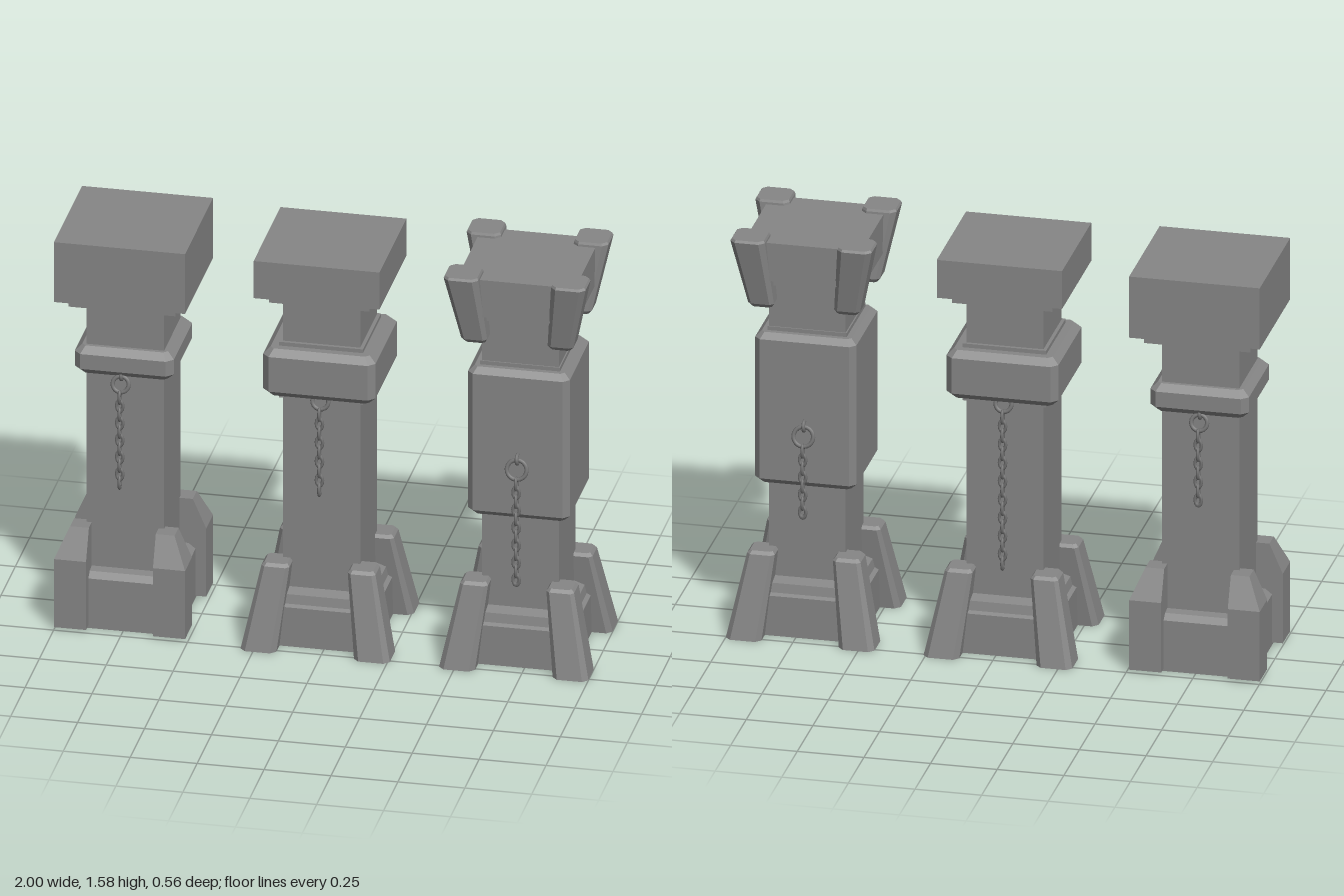
import * as THREE from 'three';

const stone = new THREE.MeshStandardMaterial({ color: 0x868686, flatShading: true, side: THREE.DoubleSide });
const iron = new THREE.MeshStandardMaterial({ color: 0x747474 });

// Rectangular cross-section at height y, with corners cut by c (none if c = 0)
function section(y, x0, x1, z0, z1, c = 0) {
  const pts = c > 0
    ? [[x1, z1 - c], [x1, z0 + c], [x1 - c, z0], [x0 + c, z0],
       [x0, z0 + c], [x0, z1 - c], [x0 + c, z1], [x1 - c, z1]]
    : [[x1, z1], [x1, z0], [x0, z0], [x0, z1]];
  return pts.map(([x, z]) => [x, y, z]);
}

// Centred square cross-section of half width h
const square = (y, h, c = 0) => section(y, -h, h, -h, h, c);

// Block skinned through cross-sections, listed from bottom to top
function loft(name, rings, { openBottom = false, openTop = false } = {}) {
  const out = [];
  const tri = (a, b, c) => out.push(...a, ...b, ...c);
  const n = rings[0].length;
  for (let r = 0; r < rings.length - 1; r++) {
    for (let i = 0; i < n; i++) {
      const j = (i + 1) % n, lo = rings[r], hi = rings[r + 1];
      tri(lo[i], lo[j], hi[j]);
      tri(lo[i], hi[j], hi[i]);
    }
  }
  const bottom = rings[0], top = rings[rings.length - 1];
  for (let i = 1; i < n - 1; i++) {
    if (!openTop) tri(top[0], top[i], top[i + 1]);
    if (!openBottom) tri(bottom[0], bottom[i + 1], bottom[i]);
  }
  const geo = new THREE.BufferGeometry();
  geo.setAttribute('position', new THREE.Float32BufferAttribute(out, 3));
  geo.computeVertexNormals();
  const mesh = new THREE.Mesh(geo, stone);
  mesh.name = name;
  return mesh;
}

const slab = (name, y0, y1, h, open) => loft(name, [square(y0, h), square(y1, h)], open);

// Block with every edge bevelled by b
const bevelled = (name, y0, y1, h, b) => loft(name, [
  square(y0, h - b, b * 0.6), square(y0 + b, h, b), square(y1 - b, h, b), square(y1, h - b, b * 0.6)]);

// Four copies of a corner piece, turned about the pillar's axis
function corners(name, rings, open) {
  const group = new THREE.Group();
  group.name = name + 's';
  for (let k = 0; k < 4; k++) {
    const piece = loft(name, rings, open);
    piece.rotation.y = k * Math.PI / 2;
    group.add(piece);
  }
  return group;
}

const corner = (y, inner, outer, c = 0) => section(y, inner, outer, inner, outer, c);

// Wide foot, hollow underneath, leaning in toward a small bevelled top
const slopingFeet = () => corners('slopingFoot', [
  corner(0, 0.145, 0.279, 0.02), corner(0.318, 0.109, 0.213, 0.013), corner(0.33, 0.118, 0.203, 0.01)],
  { openBottom: true });

// Chain hanging on a ring: ring centre y, chain bottom, distance from the axis
function chain(name, ringY, endY, z, wall, radius) {
  const group = new THREE.Group();
  group.name = name;
  const ring = new THREE.Mesh(new THREE.TorusGeometry(radius, 0.008, 8, 20), iron);
  ring.name = 'chainRing';
  ring.position.set(0, ringY, (z + wall) / 2 + 0.004);
  ring.rotation.x = -0.25;
  const staple = new THREE.Mesh(new THREE.TorusGeometry(0.018, 0.007, 8, 14), iron);
  staple.name = 'chainStaple';
  staple.position.set(0, ringY + radius, wall + 0.004);
  staple.rotation.y = Math.PI / 2;
  group.add(ring, staple);

  const start = ringY - radius - 0.016;
  const last = endY + 0.03;
  const count = Math.round((start - last) / 0.036) + 1;
  const step = (start - last) / (count - 1);
  const linkGeo = new THREE.TorusGeometry(0.012, 0.0062, 6, 12);
  linkGeo.scale(1, 1.65, 1);
  for (let i = 0; i < count; i++) {
    const link = new THREE.Mesh(linkGeo, iron);
    link.name = 'chainLink';
    link.position.set(0, start - i * step, z);
    link.rotation.y = i % 2 ? 0 : Math.PI / 2;
    group.add(link);
  }
  return group;
}

// Back chain: same as a front one, turned round
function backChain(...args) {
  const c = chain('backChain', ...args);
  c.rotation.y = Math.PI;
  return c;
}

function pillar(name, x, parts) {
  const group = new THREE.Group();
  group.name = name;
  group.position.x = x;
  group.add(...parts);
  return group;
}

// Hollow base with a bevelled step up to the shaft
const steppedBase = () => loft('base', [
  square(0, 0.205), square(0.157, 0.205), square(0.165, 0.19), square(0.2, 0.183), square(0.215, 0.143)],
  { openBottom: true, openTop: true });

export function createModel() {
  const model = new THREE.Group();
  model.name = 'threePillars';

  // Pillar with upright corner posts and a tall cap
  const postChain = chain('frontChain', 0.98, 0.56, 0.184, 0.145, 0.03);
  postChain.position.x = -0.012;
  model.add(pillar('postPillar', -0.755, [
    loft('base', [square(0, 0.205), square(0.2, 0.205), square(0.22, 0.18), square(0.225, 0.145)],
      { openBottom: true, openTop: true }),
    slab('shaft', 0.2, 1.3, 0.145, { openBottom: true }),
    corners('cornerPost', [
      corner(0.01, 0.125, 0.245), corner(0.285, 0.125, 0.245), corner(0.4, 0.125, 0.195)],
      { openBottom: true }),
    bevelled('collar', 1.01, 1.12, 0.185, 0.025),
    slab('capStep', 1.29, 1.325, 0.2),
    slab('cap', 1.325, 1.567, 0.245),
    postChain,
    backChain(0.98, 0.65, 0.184, 0.145, 0.03),
  ]));

  // Pillar with sloping feet and a broad collar
  model.add(pillar('collarPillar', -0.021, [
    steppedBase(),
    slab('shaft', 0.2, 1.38, 0.144),
    slopingFeet(),
    slab('collarTrim', 0.98, 1.205, 0.157),
    bevelled('collar', 1.0, 1.19, 0.21, 0.025),
    slab('capStep', 1.375, 1.41, 0.188),
    slab('cap', 1.41, 1.56, 0.235),
    chain('frontChain', 0.985, 0.605, 0.184, 0.144, 0.03),
    backChain(0.985, 0.33, 0.184, 0.144, 0.03),
  ]));

  // Pillar with a long sleeve and flared corner merlons
  model.add(pillar('crownPillar', 0.721, [
    steppedBase(),
    slab('shaft', 0.2, 1.38, 0.144),
    slopingFeet(),
    slab('sleeveTrim', 0.58, 1.2, 0.149),
    bevelled('sleeve', 0.59, 1.185, 0.19, 0.022),
    slab('capStep', 1.375, 1.41, 0.175),
    slab('cap', 1.41, 1.56, 0.22),
    corners('merlon', [
      corner(1.295, 0.122, 0.198, 0.01), corner(1.31, 0.113, 0.21, 0.014),
      corner(1.568, 0.136, 0.265, 0.02), corner(1.577, 0.14, 0.26, 0.018)]),
    chain('frontChain', 0.8, 0.33, 0.218, 0.19, 0.037),
    backChain(0.8, 0.475, 0.218, 0.19, 0.037),
  ]));

  return model;
}
